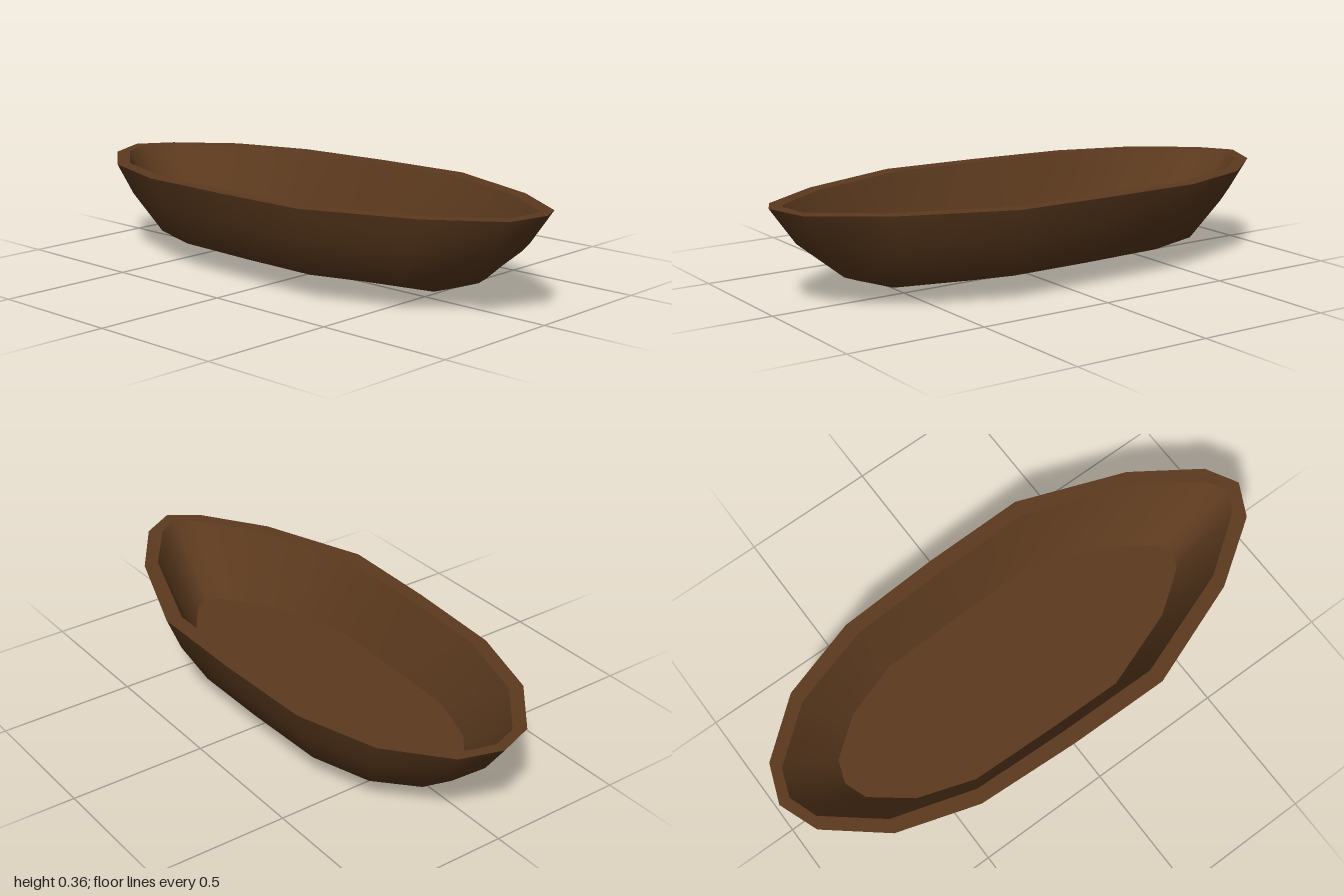
import * as THREE from 'three';
import { toCreasedNormals } from 'three/addons/utils/BufferGeometryUtils.js';

// Half outlines from stern (-x) to bow (+x); each is mirrored across z = 0 into a ring
const ring = (xs, zs, y) => {
  const half = xs.map((x, i) => new THREE.Vector3(x, Array.isArray(y) ? y[i] : y, zs[i]));
  const mirrored = half.slice(1, -1).reverse().map((p) => new THREE.Vector3(p.x, p.y, -p.z));
  return [...half, ...mirrored];
};

const mixRings = (a, b, t) => a.map((p, i) => {
  const q = p.clone().lerp(b[i], t);
  q.y = 0.23;
  return q;
});

// Skin a sequence of rings, dropping triangles that collapse on the centre line
function loft(rings) {
  const pos = [];
  const tri = (a, b, c) => {
    const n = b.clone().sub(a).cross(c.clone().sub(a));
    if (n.length() > 1e-7) for (const p of [a, b, c]) pos.push(p.x, p.y, p.z);
  };
  for (let j = 0; j < rings.length - 1; j++) {
    const lo = rings[j], hi = rings[j + 1];
    for (let i = 0; i < lo.length; i++) {
      const k = (i + 1) % lo.length;
      tri(lo[i], lo[k], hi[k]);
      tri(lo[i], hi[k], hi[i]);
    }
  }
  const geo = new THREE.BufferGeometry();
  geo.setAttribute('position', new THREE.Float32BufferAttribute(pos, 3));
  return toCreasedNormals(geo, 0.85);
}

export function createModel() {
  const group = new THREE.Group();
  group.name = 'boat';
  const wood = new THREE.MeshStandardMaterial({ color: 0x5c3a1e });
  const zero = Array(9).fill(0);
  const rimY = [0.345, 0.339, 0.338, 0.339, 0.343, 0.346, 0.348, 0.35, 0.36];

  const keel = ring([-0.76, -0.7, -0.62, -0.4, -0.05, 0.23, 0.54, 0.66, 0.73], zero,
    [0.09, 0.06, 0.03, 0.01, 0, 0.003, 0.025, 0.065, 0.09]);
  const chine = ring([-0.76, -0.73, -0.6, -0.38, -0.05, 0.25, 0.56, 0.71, 0.73],
    [0, 0.1, 0.22, 0.29, 0.303, 0.305, 0.2, 0.07, 0], 0.09);
  const outerRim = ring([-1, -0.945, -0.745, -0.45, -0.07, 0.31, 0.705, 0.94, 1],
    [0, 0.145, 0.31, 0.403, 0.423, 0.427, 0.28, 0.12, 0], rimY);
  const innerRim = ring([-0.958, -0.92, -0.73, -0.43, -0.07, 0.3, 0.7, 0.91, 0.95],
    [0, 0.105, 0.26, 0.352, 0.366, 0.37, 0.225, 0.075, 0], rimY);
  const floorX = [-0.76, -0.73, -0.59, -0.38, -0.05, 0.24, 0.54, 0.7, 0.725];
  const floorEdge = ring(floorX, [0, 0.085, 0.195, 0.265, 0.275, 0.278, 0.17, 0.055, 0], 0.1);
  const floorMiddle = ring(floorX, zero, 0.1);

  const add = (name, ...rings) => {
    const mesh = new THREE.Mesh(loft(rings), wood);
    mesh.name = name;
    group.add(mesh);
  };

  // Outer shell with V bottom, flat rim, inside walls and floor
  add('hull', keel, chine, mixRings(chine, outerRim, 0.65), outerRim);
  add('gunwale', outerRim, innerRim);
  add('innerWalls', innerRim, floorEdge);
  add('floor', floorEdge, floorMiddle);
  return group;
}
